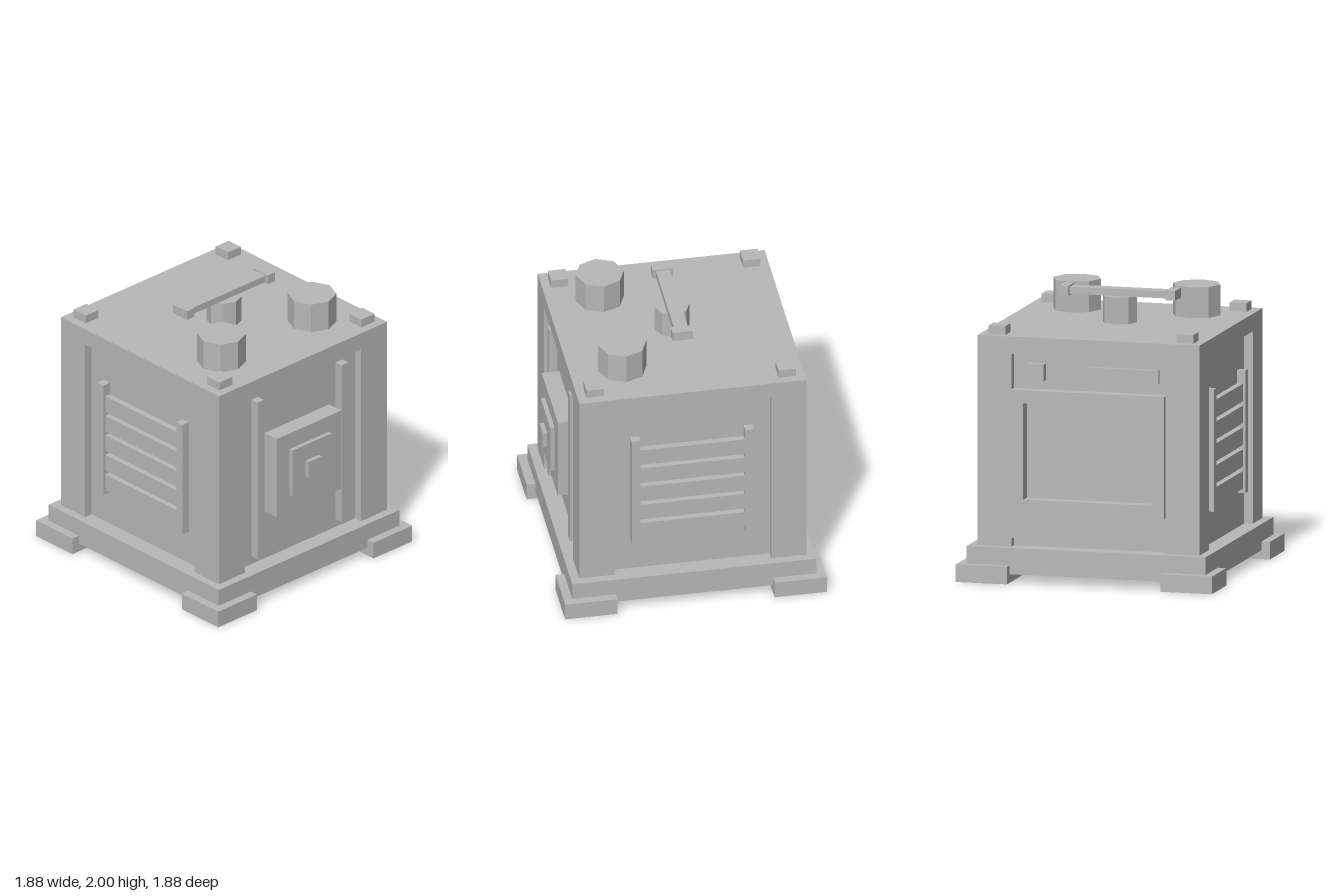
import * as THREE from 'three';

export function createModel() {
  const model = new THREE.Group();
  model.name = 'machineCrate';
  const grey = new THREE.MeshStandardMaterial({ color: 0xb8b8b8, flatShading: true });
  grey.name = 'plain grey';

  // box given by its minimum and maximum on each axis
  const box = (name, x0, x1, y0, y1, z0, z1, parent = model) => {
    const mesh = new THREE.Mesh(new THREE.BoxGeometry(x1 - x0, y1 - y0, z1 - z0), grey);
    mesh.position.set((x0 + x1) / 2, (y0 + y1) / 2, (z0 + z1) / 2);
    mesh.name = name;
    parent.add(mesh);
  };
  const drum = (name, x, z, r, top) => {
    const mesh = new THREE.Mesh(new THREE.CylinderGeometry(r, r, top - 1.75, 8), grey);
    mesh.position.set(x, (top + 1.75) / 2, z);
    mesh.name = name;
    model.add(mesh);
  };

  const W = 0.8125, P = 0.75, O = 0.5625; // outer wall, recessed panel, opening

  // plinth and body core
  box('base', -0.875, 0.875, 0.0625, 0.25, -0.875, 0.875);
  box('core', -P, P, 0.25, 1.625, -P, P);
  box('lid', -W, W, 1.625, 1.75, -W, W);

  // corner feet, pillars and top studs
  for (const sx of [-1, 1]) for (const sz of [-1, 1]) {
    const corner = (name, a, b, y0, y1) => box(name,
      Math.min(sx * a, sx * b), Math.max(sx * a, sx * b), y0, y1,
      Math.min(sz * a, sz * b), Math.max(sz * a, sz * b));
    corner('foot', O, 0.9375, 0, 0.125);
    corner('pillar', O, W, 0.25, 1.625);
    corner('topStud', 0.625, 0.75, 1.75, 1.8125);
  }

  // front rails and stepped hatch
  for (const x of [-0.4375, 0.375]) box('frontRail', x, x + 0.0625, 0.3125, 1.5625, P, W);
  box('hatch', -0.3125, 0.3125, 0.625, 1.25, P, 0.875);
  box('hatchPlate', -0.1875, 0.1875, 0.755, 1.125, 0.875, 0.906);
  box('hatchKnob', -0.0625, 0.0625, 0.875, 1, 0.906, 0.9375);

  // side vents: two rails with five slats, the second side turned round
  for (const turn of [0, Math.PI]) {
    const vent = new THREE.Group();
    vent.name = 'sideVent';
    vent.rotation.y = turn;
    for (const z of [-0.4375, 0.375]) box('ventRail', P, W, 0.5, 1.375, z, z + 0.0625, vent);
    for (let i = 0; i < 5; i++) {
      const y = 0.533 + i * 0.156;
      box('ventSlat', P, 0.795, y, y + 0.125, -0.375, 0.375, vent);
    }
    model.add(vent);
  }

  // back screen frame with lower plate, button and label strip
  const frame = new THREE.Shape([[-O, 0.5], [O, 0.5], [O, 1.375], [-O, 1.375]]
    .map(p => new THREE.Vector2(...p)));
  frame.holes.push(new THREE.Path([[-0.47, 0.594], [-0.47, 1.281], [0.47, 1.281], [0.47, 0.594]]
    .map(p => new THREE.Vector2(...p))));
  const screenFrame = new THREE.Mesh(
    new THREE.ExtrudeGeometry(frame, { depth: 0.094, bevelEnabled: false }), grey);
  screenFrame.position.z = -0.844;
  screenFrame.name = 'screenFrame';
  model.add(screenFrame);
  box('backPlate', -O, O, 0.3125, 0.5, -W, -P);
  box('backButton', 0.33, 0.45, 1.44, 1.56, -W, -P);
  box('backStrip', -0.5, 0, 1.45, 1.55, -0.775, -P);

  // drums and carrying handle on top
  for (const x of [-0.4375, 0.4375]) drum('topDrum', x, 0.4375, 0.173, 1.97);
  drum('handlePost', 0, 0, 0.125, 1.94);
  box('handleBar', -0.355, 0.355, 1.94, 1.99, -0.05, 0.05);
  for (const x of [-0.425, 0.355]) box('handleEnd', x, x + 0.07, 1.93, 2, -0.073, 0.073);

  return model;
}
